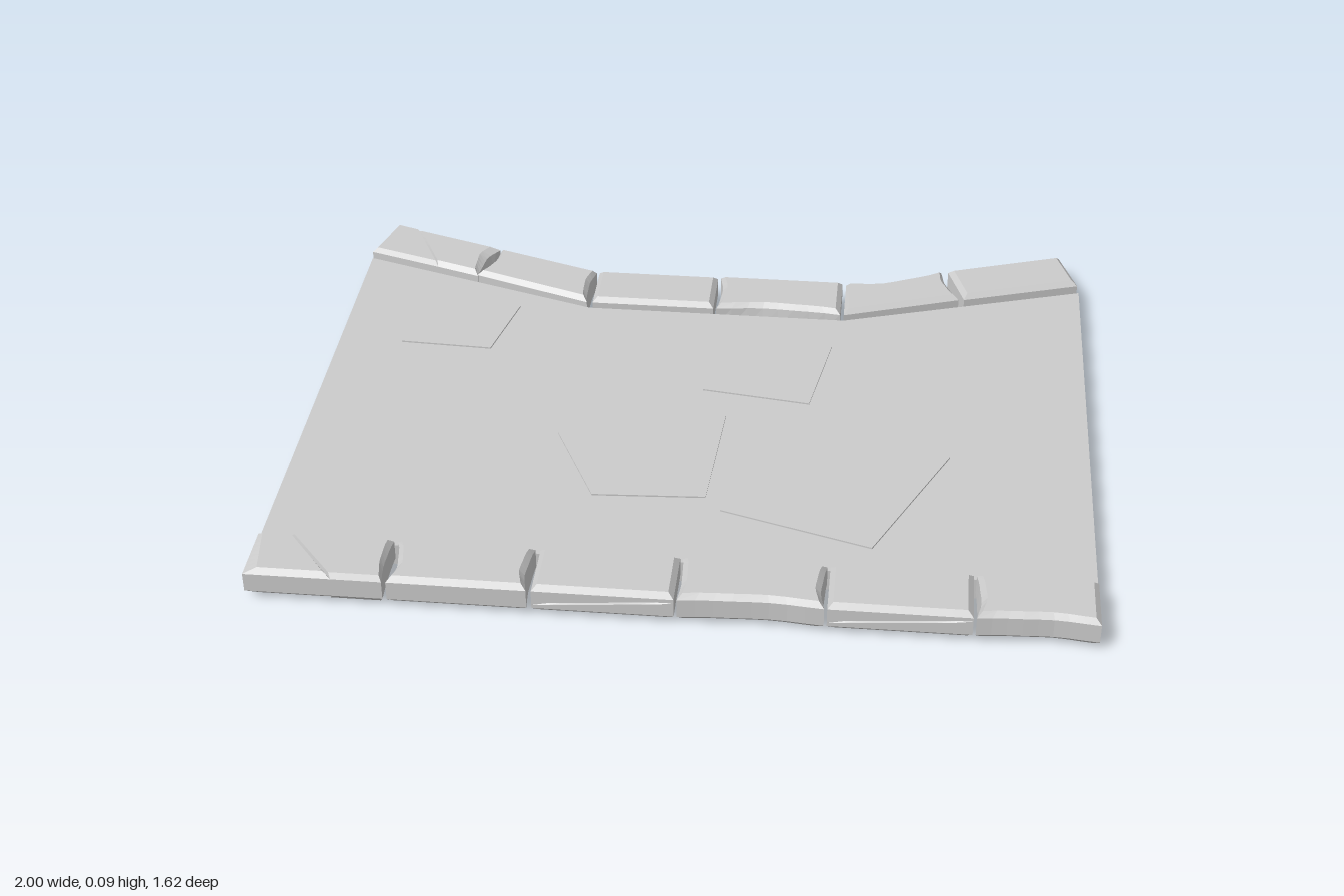
import * as THREE from 'three';

const grey = new THREE.MeshStandardMaterial({ color: 0xcccccc, flatShading: true });
const thin = new THREE.MeshStandardMaterial({ color: 0xcccccc, flatShading: true, side: THREE.DoubleSide });
const TOP = 0.056, Y0 = 0.01, Y1 = 0.085, BEVEL = 0.013, N = 8;
const lerp = THREE.MathUtils.lerp;

function add(parent, name, geometry, material = grey) {
  const mesh = new THREE.Mesh(geometry, material);
  mesh.name = name;
  parent.add(mesh);
  return mesh;
}

// Closed fan-capped body through a stack of equal-length rings (anticlockwise from above)
function loft(rings) {
  const n = rings[0].length, pos = rings.flat(2), idx = [];
  for (let k = 0; k < rings.length - 1; k++) {
    for (let i = 0; i < n; i++) {
      const a = k * n + i, b = k * n + (i + 1) % n;
      idx.push(a, b, b + n, a, b + n, a + n);
    }
  }
  [rings[0], rings[rings.length - 1]].forEach((ring, end) => {
    const c = pos.length / 3, base = end ? (rings.length - 1) * n : 0;
    for (let j = 0; j < 3; j++) pos.push(ring.reduce((sum, p) => sum + p[j], 0) / n);
    for (let i = 0; i < n; i++) {
      const a = base + i, b = base + (i + 1) % n;
      idx.push(c, end ? a : b, end ? b : a);
    }
  });
  const g = new THREE.BufferGeometry();
  g.setAttribute('position', new THREE.Float32BufferAttribute(pos, 3));
  g.setIndex(idx);
  g.computeVertexNormals();
  return g;
}

// Bevelled kerb stone on a plan of four [x, z] corners:
// inner start, inner end, outer end, outer start. Options give the wear of each side.
function kerbStone([a, b, c, d], o = {}) {
  const L = Math.hypot(b[0] - a[0], b[1] - a[1]), D = Math.hypot(d[0] - a[0], d[1] - a[1]);
  const outline = [];
  for (let i = 0; i < N; i++) outline.push([0, i / N]);
  for (let i = 0; i < N; i++) outline.push([i / N, 1]);
  for (let i = 0; i < N; i++) outline.push([1, 1 - i / N]);
  for (let i = 0; i < N; i++) outline.push([1 - i / N, 0]);
  const dent = t => Math.sin(Math.PI * t) * (0.85 + 0.15 * Math.cos(t * 9));

  function ring(height, inset, wear, groove = 0) {
    return outline.map(([s, t]) => {
      const startIn = inset * (o.startBevel ?? 1) + wear * (o.start ?? 0) * dent(t);
      const endIn = inset * (o.endBevel ?? 1) + wear * (o.end ?? 0) * dent(t);
      const innerIn = inset + wear * (o.inner ?? 0) * dent(s);
      const outerIn = inset + (o.outer ?? 0) * dent(s) + groove * Math.sin(Math.PI * s);
      const u = lerp(startIn / L, 1 - endIn / L, s), v = lerp(innerIn / D, 1 - outerIn / D, t);
      const at = j => lerp(lerp(a[j], b[j], u), lerp(d[j], c[j], u), v);
      return [at(0), height(s), at(1)];
    });
  }
  const flat = y => () => y;
  const rings = [ring(flat(Y0), BEVEL, 0), ring(flat(Y0 + BEVEL), 0, 0.4)];
  // Slanting crack along the outer face
  if (o.crack) {
    for (const [dy, depth] of [[-0.003, 0], [0, 0.01], [0.003, 0]]) {
      rings.push(ring(s => lerp(0.035, 0.062, s) + dy, 0, 0.7, depth));
    }
  }
  rings.push(ring(flat(Y1 - BEVEL), 0, 1), ring(flat(Y1), BEVEL, 1));
  return loft(rings);
}

// Kerb stone split across its top by a narrow crack between two plan points
function splitStone(parent, name, [a, b, c, d], inner, outer, first = {}, second = {}) {
  add(parent, name + 'StartHalf', kerbStone([a, inner, outer, d], { ...first, endBevel: 0.3 }));
  add(parent, name + 'EndHalf', kerbStone([inner, b, c, outer], { ...second, startBevel: 0.3 }));
}

const plan = points => points.map(([x, z]) => new THREE.Vector2(x, -z));

function buildSlab(group) {
  const edge = [[-1, 0.648], [0.995, 0.648], [0.995, -0.66], [0.35, -0.455], [-0.35, -0.455], [-1, -0.66]];
  const stones = [
    [[-0.83, -0.235], [-0.867, -0.45], [-0.715, -0.543], [-0.54, -0.44], [-0.587, -0.224]],
    [[-0.23, 0.405], [-0.35, 0.15], [-0.125, -0.07], [0.07, 0.03], [0.05, 0.39]],
    [[0, -0.08], [-0.005, -0.32], [0.2, -0.4], [0.325, -0.316], [0.28, -0.04]],
    [[0.09, 0.44], [0.11, 0.145], [0.355, 0.005], [0.646, 0.165], [0.464, 0.555]],
  ];
  // Paving surface with openings for the paving stones
  const surface = new THREE.Shape(plan(edge));
  surface.holes = stones.map(s => new THREE.Path(plan(s)));
  add(group, 'pavingSurface', new THREE.ShapeGeometry(surface).rotateX(-Math.PI / 2).translate(0, TOP, 0), thin);

  // Slightly raised flat stones
  stones.forEach((s, i) => {
    const g = new THREE.ExtrudeGeometry(new THREE.Shape(plan(s)), { depth: 0.004, bevelEnabled: false });
    add(group, 'pavingStone' + (i + 1), g.rotateX(-Math.PI / 2).translate(0, TOP, 0), thin);
  });

  // Skirt around the open underside
  edge.forEach(([x, z], i) => {
    const [x2, z2] = edge[(i + 1) % edge.length];
    const g = new THREE.PlaneGeometry(Math.hypot(x2 - x, z2 - z), TOP);
    g.rotateY(Math.atan2(z - z2, x2 - x)).translate((x + x2) / 2, TOP / 2, (z + z2) / 2);
    add(group, 'skirt' + (i + 1), g, thin);
  });
}

export function createModel() {
  const model = new THREE.Group();
  model.name = 'pavedPathSection';
  const slab = new THREE.Group();
  slab.name = 'slab';
  buildSlab(slab);

  // Straight front kerb
  const front = new THREE.Group();
  front.name = 'frontKerb';
  const spans = [[-1, -0.67], [-0.66, -0.33], [-0.318, 0.015], [0.022, 0.363], [0.37, 0.705], [0.712, 0.995]];
  const frontWear = [{}, { start: 0.018, end: 0.012 }, { crack: true },
    { outer: 0.012, start: 0.006, end: 0.012 }, { crack: true }, { outer: 0.012, start: 0.012 }];
  spans.forEach(([x1, x2], i) => {
    const quad = [[x1, 0.655], [x2, 0.655], [x2, 0.81], [x1, 0.81]];
    const name = 'frontKerbStone' + (i + 1);
    if (i === 0) splitStone(front, name, quad, [-0.92, 0.655], [-0.79, 0.81], {}, { end: 0.01 });
    else add(front, name, kerbStone(quad, frontWear[i]));
  });

  // Bent back kerb, running from left to right
  const back = new THREE.Group();
  back.name = 'backKerb';
  const quads = [
    [[0.99, -0.67], [0.677, -0.567], [0.632, -0.707], [0.943, -0.813]],
    [[0.662, -0.565], [0.35, -0.457], [0.35, -0.612], [0.613, -0.702]],
    [[0.34, -0.457], [0, -0.457], [0, -0.617], [0.34, -0.617]],
    [[-0.008, -0.457], [-0.342, -0.457], [-0.342, -0.612], [-0.008, -0.612]],
    [[-0.358, -0.457], [-0.682, -0.57], [-0.635, -0.707], [-0.35, -0.612]],
    [[-0.68, -0.565], [-1, -0.667], [-0.95, -0.813], [-0.64, -0.71]],
  ];
  const backWear = [{ crack: true }, { outer: 0.022, start: 0.012 }, { inner: 0.016, end: 0.012 },
    { crack: true }, { start: 0.012, end: 0.014 }];
  quads.forEach((quad, i) => {
    const name = 'backKerbStone' + (i + 1);
    if (i === 5) splitStone(back, name, quad, [-0.8, -0.604], [-0.895, -0.794], { start: 0.01 });
    else add(back, name, kerbStone(quad, backWear[i]));
  });

  model.add(slab, front, back);
  return model;
}
